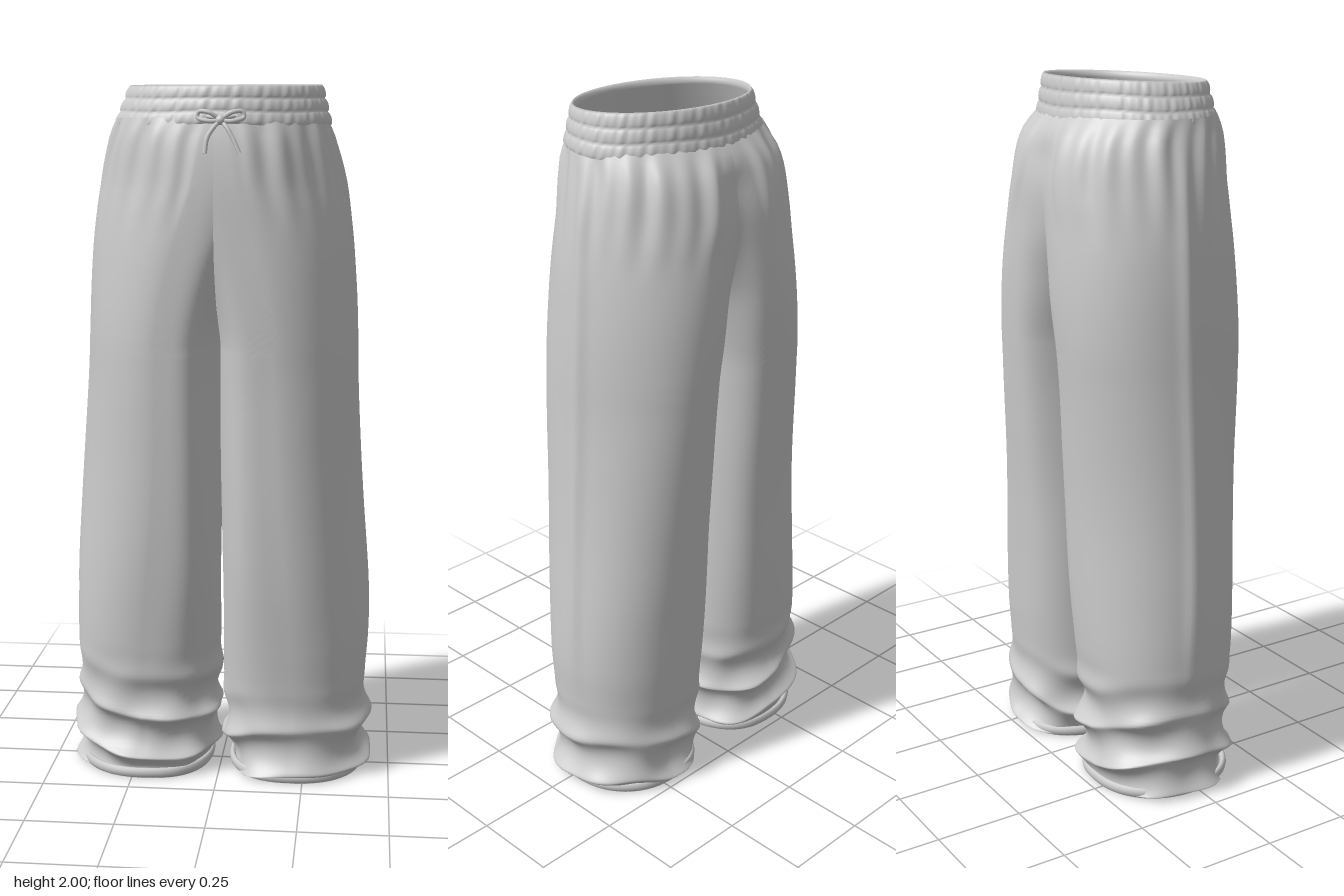
import * as THREE from 'three';

const material = new THREE.MeshStandardMaterial({ color: 0xcccccc, side: THREE.DoubleSide, roughness: 0.9 });
const { smoothstep, lerp } = THREE.MathUtils;

// Leg sections, bottom to top: y, inner x, outer x, front z, back z.
// A negative inner x means the section is cut at x = 0, which opens the two legs into the hips.
const SECTIONS = [
  [0.00, 0.030, 0.418, 0.182, -0.225],
  [0.05, 0.022, 0.430, 0.178, -0.228],
  [0.12, 0.012, 0.436, 0.178, -0.230],
  [0.25, 0.006, 0.426, 0.182, -0.228],
  [0.40, 0.004, 0.430, 0.198, -0.238],
  [0.60, 0.003, 0.422, 0.218, -0.247],
  [0.80, 0.002, 0.409, 0.233, -0.254],
  [1.00, 0.001, 0.397, 0.244, -0.264],
  [1.20, 0.001, 0.386, 0.253, -0.274],
  [1.30, -0.003, 0.382, 0.257, -0.280],
  [1.45, -0.040, 0.374, 0.260, -0.285],
  [1.60, -0.100, 0.361, 0.260, -0.282],
  [1.75, -0.170, 0.337, 0.256, -0.273],
  [1.84, -0.235, 0.314, 0.246, -0.244],
  [1.90, -0.290, 0.296, 0.232, -0.200],
];
const sections = new THREE.CubicInterpolant(
  SECTIONS.map((s) => s[0]), SECTIONS.flatMap((s) => s.slice(1)), 4, new Float32Array(4));

// Grid surface through point(u, v); u runs around, v runs upward
function loft(name, cols, rows, point) {
  const pos = [], index = [];
  for (let j = 0; j <= rows; j++)
    for (let i = 0; i <= cols; i++) pos.push(...point(i / cols, j / rows));
  for (let j = 0; j < rows; j++)
    for (let i = 0; i < cols; i++) {
      const a = j * (cols + 1) + i, c = a + cols + 1;
      index.push(a, c, a + 1, a + 1, c, c + 1);
    }
  const geo = new THREE.BufferGeometry();
  geo.setAttribute('position', new THREE.Float32BufferAttribute(pos, 3));
  geo.setIndex(index);
  geo.computeVertexNormals();
  const mesh = new THREE.Mesh(geo, material);
  mesh.name = name;
  return mesh;
}

const power = (t, p) => Math.sign(t) * Math.abs(t) ** p;

// Point on one trouser leg; side is +1 (left) or -1 (right), u in 0..1 goes around, offset is outward
function legPoint(side, u, y, offset = 0) {
  const [inner, outer, front, back] = sections.evaluate(y);
  const around = side * (2 * u - 1); // 0 is the outer side, positive the front
  const hip = smoothstep(y, 0.3, 1.0) * (1 - smoothstep(y, 1.7, 1.9));
  // fullest nearer the middle of the body, tapering to the side seam
  const cx = lerp(inner, outer, 0.5 - 0.08 * hip);
  const rxInner = cx - inner, rxOuter = outer - cx;
  const cz = (front + back) / 2, rz = (front - back) / 2;
  // flat towards the other leg, pinched at the side seam
  const innerPower = lerp(0.75, around > 0 ? 0.45 : 0.58, smoothstep(y, 0.15, 0.7));
  const outerPower = lerp(0.95, 1.07, hip);
  const limit = Math.acos(-(Math.min(1, cx / rxInner) ** (1 / innerPower)));
  const t = around * limit;
  const c = Math.cos(t), s = Math.sin(t);
  const closeness = Math.min(1, (1 - Math.abs(around)) * 8);

  // gathers under the waistband
  const gather = smoothstep(y, 1.55, 1.83) * (1 - smoothstep(y, 1.86, 1.9)) * closeness;
  offset += gather * (0.004 * Math.sin(13 * t + side) + 0.004 * Math.sin(23 * t + 2));
  // side seam ridge
  offset += 0.010 * Math.exp(-(((t + 0.08) / 0.09) ** 2)) * smoothstep(y, 0.25, 0.6) * (1 - smoothstep(y, 1.7, 1.88));
  // soft drape down the leg
  offset += 0.004 * Math.sin(3 * t + 4 * y + side) * smoothstep(y, 0.2, 0.6) * (1 - smoothstep(y, 1.1, 1.5));

  // slumped diagonal folds above the hem
  const top = side > 0 ? 0.29 : 0.41;
  const fold = (1 - smoothstep(y, top * 0.4, top)) * smoothstep(y, 0.0, 0.035);
  const phase = 2 * Math.PI * (side > 0 ? (y - 0.06) / 0.135 : (y - 0.13) / 0.12)
    + Math.PI / 2 + 2 * (1 - c) + 0.9 * Math.sin(2 * t + side);
  offset += fold * (0.015 * Math.sin(phase) + 0.006 * Math.sin(3 * t + 40 * y) + 0.004 * Math.sin(7 * t - 25 * y));
  const dy = fold * (0.012 * Math.cos(phase) - 0.012);

  const x = Math.max(0, cx + (c < 0 ? rxInner * power(c, innerPower) : rxOuter * power(c, outerPower)) + offset * c);
  // centre back seam sinks between the two halves
  const sink = around < 0 ? 0.022 * Math.exp(-((x / 0.06) ** 2)) * smoothstep(y, 1.3, 1.5) * (1 - smoothstep(y, 1.78, 1.88)) : 0;
  return [side * x, Math.max(0, y + dy), cz + rz * power(s, outerPower) + offset * s + sink];
}

function tube(name, points, radius) {
  const curve = new THREE.CatmullRomCurve3(points.map((p) => new THREE.Vector3(...p)));
  const mesh = new THREE.Mesh(new THREE.TubeGeometry(curve, 40, radius, 8), material);
  mesh.name = name;
  return mesh;
}

// Elastic waistband: outside with stitched channels, rolled top edge, plain lining
function waistband() {
  return loft('waistband', 240, 40, (u, v) => {
    const t = (2 * u - 1) * Math.PI;
    const outside = v < 0.6;
    const h = outside ? v / 0.6 : 1 - (v - 0.6) / 0.4; // 0 bottom, 1 top
    const channel = Math.abs(Math.sin(h * Math.PI * 3)) ** 0.6;
    const rib = 0.0014 * Math.sin(60 * t) + 0.0012 * Math.sin(37 * t + 1);
    const offset = outside ? 0.004 * channel + rib * channel : -0.010 * Math.min(1, (1 - h) * 8);
    const rx = 0.302 - 0.036 * h + offset;
    const rz = 0.222 - 0.02 * h + offset;
    const y = 1.88 + 0.112 * h + 0.003 * Math.sin(5 * t) * (1 - h) - 0.008 * Math.sin(t) * h;
    return [0.004 + 0.009 * h + rx * Math.cos(t), y, 0.017 + rz * Math.sin(t)];
  });
}

// Drawstring bow with two loops and two hanging ends
function drawstring() {
  const group = new THREE.Group();
  group.name = 'drawstring';
  for (const s of [-1, 1]) {
    const at = (x, y, z) => [0.02 + s * x, y, z];
    group.add(
      tube('bowLoop', [at(0, 1.893, 0.252), at(0.03, 1.912, 0.258), at(0.058, 1.914, 0.250),
        at(0.062, 1.9, 0.250), at(0.035, 1.89, 0.26), at(0, 1.89, 0.256)], 0.006),
      tube('cordEnd', [at(0, 1.892, 0.254), at(0.018, 1.872, 0.266), at(0.034, 1.845, 0.272),
        at(0.046 + 0.006 * s, 1.805, 0.278)], 0.006),
      tube('cordExit', [at(0.0, 1.895, 0.254), at(0.02, 1.899, 0.246), at(0.04, 1.902, 0.232)], 0.005));
  }
  const knot = new THREE.Mesh(new THREE.SphereGeometry(0.013, 16, 12), material);
  knot.name = 'knot';
  knot.position.set(0.02, 1.892, 0.257);
  group.add(knot);
  return group;
}

export function createModel() {
  const model = new THREE.Group();
  model.name = 'trousers';

  for (const side of [1, -1]) {
    const leg = new THREE.Group();
    leg.name = side > 0 ? 'leftLeg' : 'rightLeg';
    leg.add(loft('legPanel', 140, 120, (u, v) => legPoint(side, u, 1.9 * v ** 1.6)));

    // rolled hem
    leg.add(loft('hem', 90, 10, (u, v) => {
      const a = v * Math.PI * 2;
      const p = legPoint(side, u, 0, -0.003 - 0.009 * Math.cos(a));
      return [p[0], 0.015 - 0.015 * Math.sin(a), p[2]];
    }));

    // slack cloth folded inwards behind the hem, deepest at the front
    leg.add(loft('innerFold', 90, 12, (u, v) => {
      const angle = (2 * u - 1) * Math.PI;
      const depth = 0.022 + 0.055 * Math.max(0, side * Math.sin(angle)) + 0.02 * Math.max(0, -Math.cos(angle));
      return legPoint(side, u, 0.02 + 0.11 * v, -0.006 - depth * Math.sin(v * Math.PI));
    }));
    model.add(leg);
  }

  model.add(waistband(), drawstring());
  return model;
}
